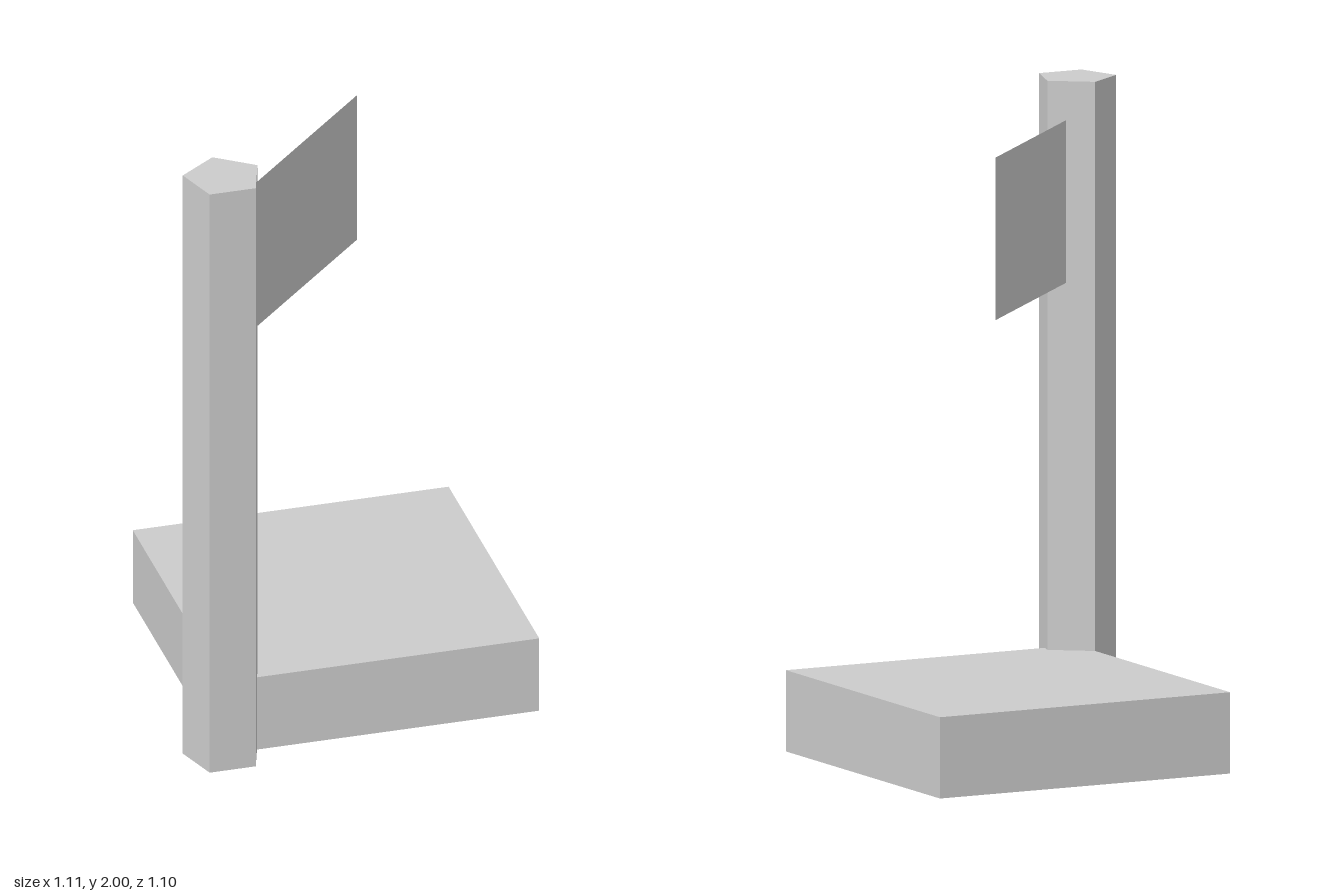
import * as THREE from 'three';

export function createModel() {
  const group = new THREE.Group();
  const material = new THREE.MeshStandardMaterial({ color: 0xcccccc, flatShading: true });
  const clothMaterial = new THREE.MeshStandardMaterial({
    color: 0xcccccc, flatShading: true, side: THREE.DoubleSide,
  });

  const add = (name, geometry, mat, x, y, z, turn = 0) => {
    const mesh = new THREE.Mesh(geometry, mat);
    mesh.name = name;
    mesh.position.set(x, y, z);
    mesh.rotation.y = turn;
    group.add(mesh);
    return mesh;
  };

  const poleX = -0.44, poleZ = 0.447;

  // Square slab, with the pole standing on its front right corner
  add('base', new THREE.BoxGeometry(0.997, 0.25, 0.997), material, 0.058, 0.125, -0.052);

  // Five-sided pole with one edge pointing to the back
  add('pole', new THREE.CylinderGeometry(0.124, 0.124, 2, 5), material, poleX, 1, poleZ, Math.PI);

  // Thin flag running diagonally from the pole over the base
  const start = 0.08, end = 0.834;
  const flag = new THREE.PlaneGeometry(end - start, 0.5);
  flag.translate((start + end) / 2, 0, 0);
  add('flag', flag, clothMaterial, poleX, 1.63, poleZ, Math.PI / 4);

  return group;
}
